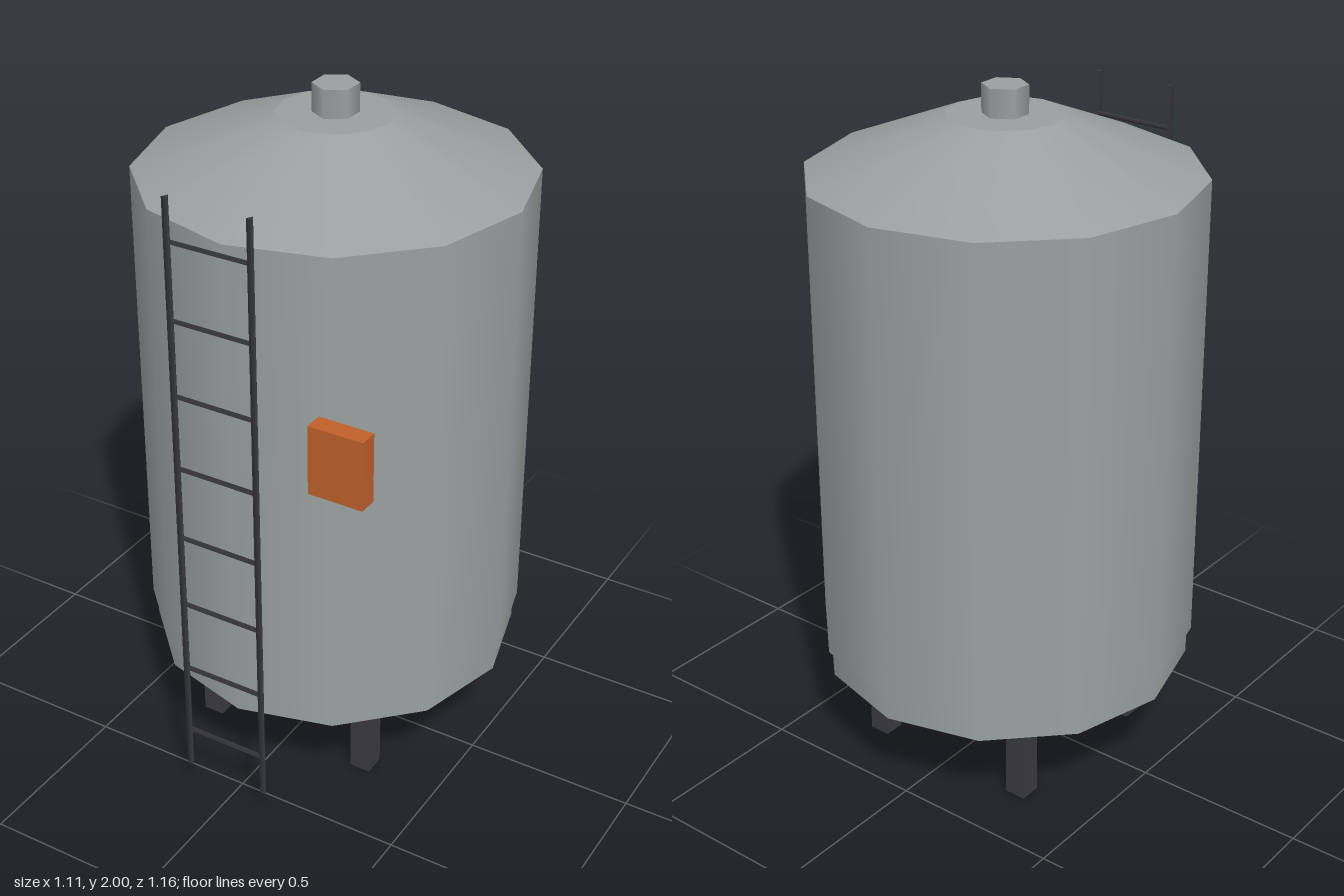
import * as THREE from 'three';

const AXIS_Z = -0.028; // tank axis, set back to leave room for the ladder

export function createModel() {
  const model = new THREE.Group();
  model.name = 'storageTank';

  const material = (name, color) => {
    const m = new THREE.MeshStandardMaterial({ color });
    m.name = name;
    return m;
  };
  const steel = material('greySteel', 0x9aa0a0);
  const iron = material('darkIron', 0x3a3a40);
  const orange = material('orangePaint', 0xc0602c);

  const add = (parent, name, geometry, mat, x, y, z) => {
    const mesh = new THREE.Mesh(geometry, mat);
    mesh.name = name;
    mesh.position.set(x, y, z);
    parent.add(mesh);
    return mesh;
  };

  // Round parts stacked on the tank axis
  const drum = (name, rTop, rBottom, y0, y1, sides) =>
    add(model, name, new THREE.CylinderGeometry(rTop, rBottom, y1 - y0, sides),
      steel, 0, (y0 + y1) / 2, AXIS_Z);
  drum('baseRing', 0.54, 0.54, 0.29, 0.37, 12);
  drum('tankBody', 0.553, 0.553, 0.37, 1.76, 12);
  drum('roof', 0.163, 0.553, 1.76, 1.92, 12);
  drum('vent', 0.064, 0.064, 1.92, 2.0, 6);

  // Four square legs
  for (const sx of [-1, 1]) {
    for (const sz of [-1, 1]) {
      add(model, 'leg', new THREE.BoxGeometry(0.064, 0.3, 0.064), iron,
        sx * 0.26, 0.15, AXIS_Z + sz * 0.26);
    }
  }

  // Ladder with three-sided rails and rungs
  const ladder = new THREE.Group();
  ladder.name = 'ladder';
  ladder.position.z = 0.576;
  model.add(ladder);
  for (const sx of [-1, 1]) {
    const rail = add(ladder, 'rail', new THREE.CylinderGeometry(0.011, 0.011, 1.795, 3),
      iron, sx * 0.124, 0.983, 0);
    rail.rotation.y = Math.PI;
  }
  for (let i = 0; i < 8; i++) {
    const rung = add(ladder, 'rung', new THREE.CylinderGeometry(0.008, 0.008, 0.248, 3),
      iron, 0, 0.208 + i * 0.221, -0.002);
    rung.rotation.z = Math.PI / 2;
  }

  // Control box on the front left of the wall
  add(model, 'controlBox', new THREE.BoxGeometry(0.163, 0.204, 0.056), orange,
    0.324, 1.207, 0.489);

  return model;
}
